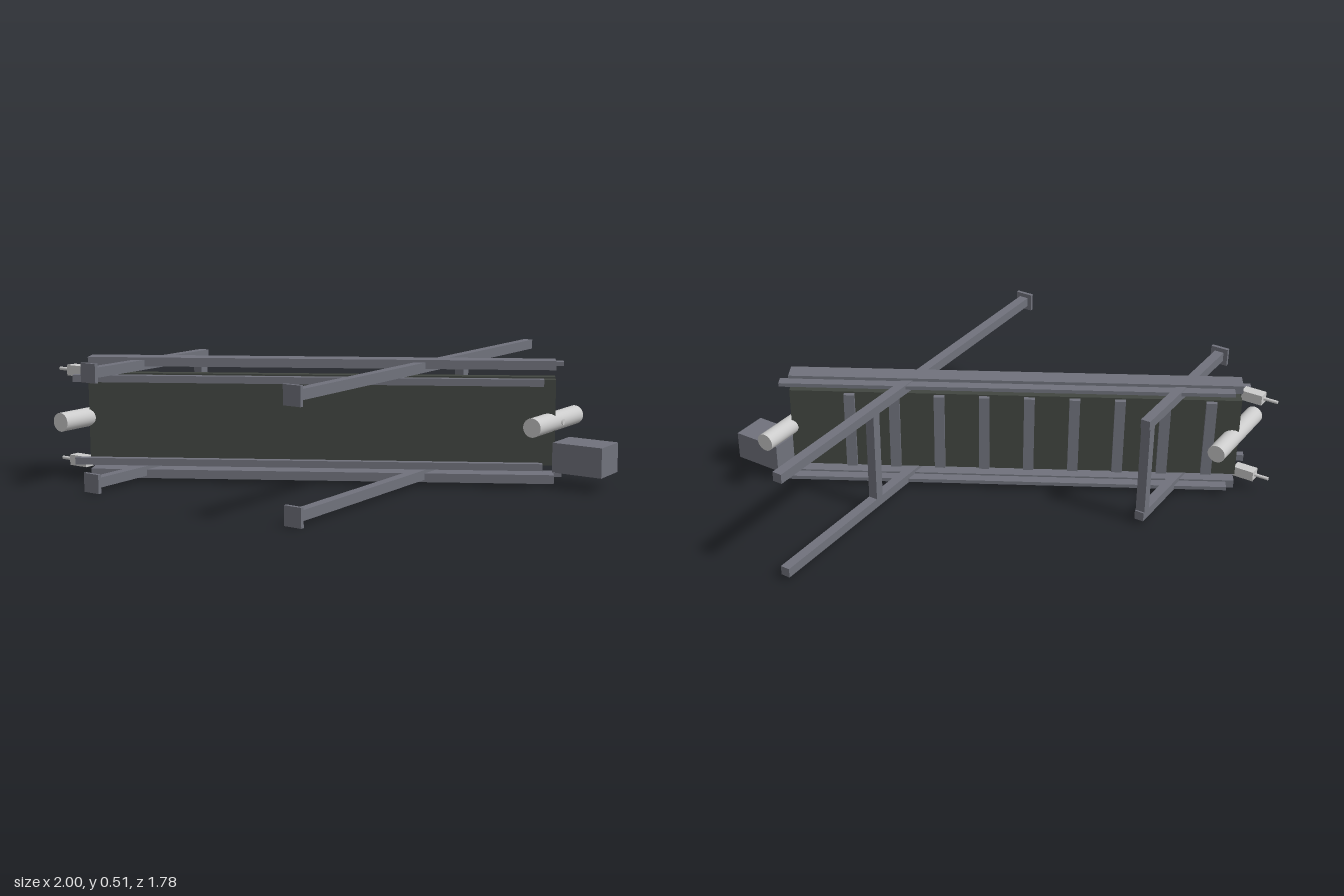
import * as THREE from 'three';

const MID = 0.255; // height of the mirror plane between the two sides

export function createModel() {
  const model = new THREE.Group();
  model.name = 'inclinedConveyor';
  const steel = new THREE.MeshStandardMaterial({ color: 0x70727c });
  const rubber = new THREE.MeshStandardMaterial({ color: 0x414540 });
  const bright = new THREE.MeshStandardMaterial({ color: 0xcccccc });

  // box given by its min and max corners
  function box(parent, name, mat, [x0, x1], [y0, y1], [z0, z1]) {
    const mesh = new THREE.Mesh(new THREE.BoxGeometry(x1 - x0, y1 - y0, z1 - z0), mat);
    mesh.position.set((x0 + x1) / 2, (y0 + y1) / 2, (z0 + z1) / 2);
    mesh.name = name;
    parent.add(mesh);
  }

  // cylinder along the x or z axis
  function rod(parent, name, mat, radius, length, axis, pos) {
    const mesh = new THREE.Mesh(new THREE.CylinderGeometry(radius, radius, length, 32), mat);
    if (axis === 'x') mesh.rotation.z = Math.PI / 2;
    else mesh.rotation.x = Math.PI / 2;
    mesh.position.set(...pos);
    mesh.name = name;
    parent.add(mesh);
  }

  // range at a distance from the mirror plane, on either side of it
  const span = (side, a, b) => side > 0 ? [MID + a, MID + b] : [MID - b, MID - a];

  // sloping bed: local x runs along the belt, local z through its thickness
  const bed = new THREE.Group();
  bed.name = 'bed';
  bed.rotation.y = Math.PI / 6;
  model.add(bed);

  box(bed, 'carryingBelt', rubber, [-1.07, 0.8], [MID - 0.178, MID + 0.178], [0.115, 0.156]);
  box(bed, 'returnBelt', rubber, [-1.07, 0.8], [MID - 0.172, MID + 0.172], [0.156, 0.195]);
  for (let i = 0; i < 9; i++) {
    const s = -0.946 + 0.187 * i;
    box(bed, 'cleat', steel, [s - 0.022, s + 0.022], [MID - 0.172, MID + 0.172], [0.095, 0.116]);
  }

  for (const side of [1, -1]) {
    // side rails, upper guards and lower return rails
    box(bed, 'sideRail', steel, [-1.07, 0.8], span(side, 0.211, 0.247), [0.115, 0.195]);
    box(bed, 'sideGuard', steel, [-1.035, 0.835], span(side, 0.218, 0.234), [0.073, 0.117]);
    box(bed, 'returnRail', steel, [-1.118, 0.75], span(side, 0.154, 0.182), [0.228, 0.257]);

    // legs with foot plates
    for (const [x, top] of [[-0.65, 0.19], [0.325, -0.89]]) {
      box(model, 'leg', steel, [x - 0.02, x + 0.02], span(side, 0.197, 0.237), [top, 0.88]);
      box(model, 'footPlate', steel, [x - 0.038, x + 0.038], span(side, 0.179, 0.255), [0.873, 0.888]);
    }

    // belt tensioners
    box(model, 'tensionerBlock', bright, [-0.94, -0.85], span(side, 0.164, 0.207), [0.665, 0.711]);
    rod(model, 'tensionerScrew', bright, 0.007, 0.09, 'x', [-0.955, MID + side * 0.186, 0.689]);
  }

  // crossbars joining each pair of legs
  box(model, 'shortLegCrossbar', steel, [-0.67, -0.63], [MID - 0.2, MID + 0.2], [0.197, 0.237]);
  box(model, 'longLegCrossbar', steel, [0.305, 0.345], [MID - 0.2, MID + 0.2], [-0.316, -0.276]);

  // end rollers and drive
  rod(model, 'tailRoller', bright, 0.038, 0.38, 'z', [-0.845, MID, 0.66]);
  rod(model, 'headRoller', bright, 0.038, 0.38, 'z', [0.765, MID, -0.27]);
  rod(model, 'driveShaft', bright, 0.012, 0.08, 'x', [0.766, MID, -0.275]);
  box(model, 'motor', steel, [0.787, 1], [0.058, 0.178], [-0.37, -0.218]);

  return model;
}
